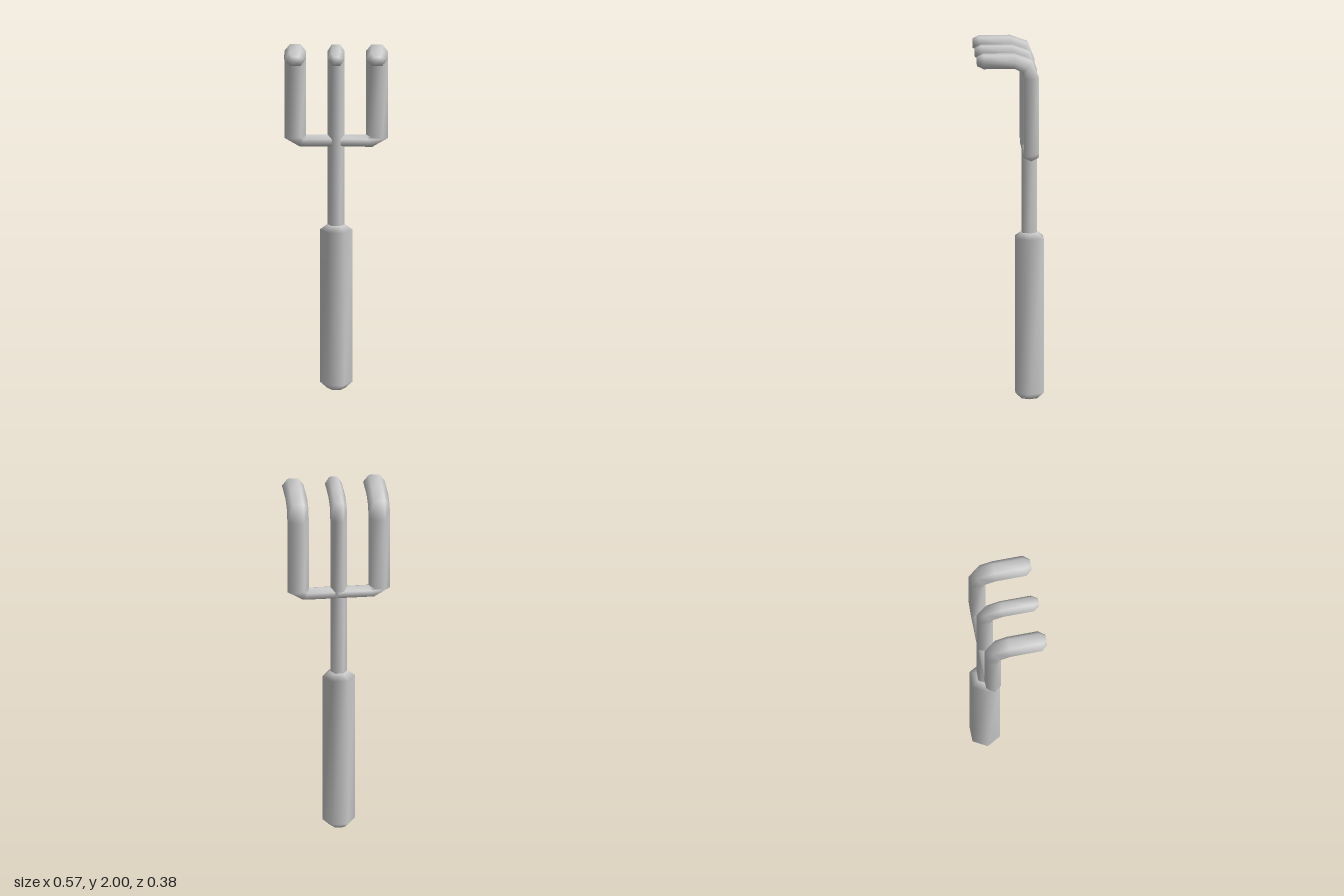
import * as THREE from 'three';

const SIDES = 6;
const AXIS_Z = -0.112; // depth of the handle and shaft axis
const V = (x, y, z) => new THREE.Vector3(x, y, z);

// A hexagonal section: centre c, corner direction u, and second axis v.
const ring = (c, u, v) => ({ c, u, v });
const flatRing = (y, r) => ring(V(0, y, AXIS_Z), V(r, 0, 0), V(0, 0, -r));

// Skin the sections into one smooth, capped solid.
function sweep(name, rings) {
  const pos = [], index = [];
  rings.forEach(({ c, u, v }) => {
    for (let k = 0; k < SIDES; k++) {
      const a = (k / SIDES) * Math.PI * 2;
      pos.push(...c.clone().addScaledVector(u, Math.cos(a)).addScaledVector(v, Math.sin(a)).toArray());
    }
  });
  const last = (rings.length - 1) * SIDES;
  const startCentre = rings.length * SIDES;
  pos.push(...rings[0].c.toArray(), ...rings[rings.length - 1].c.toArray());
  for (let k = 0; k < SIDES; k++) {
    const n = (k + 1) % SIDES;
    for (let i = 0; i < last; i += SIDES) {
      index.push(i + k, i + n, i + SIDES + n, i + k, i + SIDES + n, i + SIDES + k);
    }
    index.push(startCentre, n, k, startCentre + 1, last + k, last + n);
  }
  const geometry = new THREE.BufferGeometry();
  geometry.setAttribute('position', new THREE.Float32BufferAttribute(pos, 3));
  geometry.setIndex(index);
  geometry.computeVertexNormals();
  const mesh = new THREE.Mesh(geometry, new THREE.MeshStandardMaterial({ color: 0xcccccc }));
  mesh.name = name;
  return mesh;
}

// Bend at the top of a prong, then the forward run to its chamfered tip.
const hook = (x, r) => [
  ring(V(x, 1.867, AXIS_Z), V(r, 0, 0), V(0, 0, -0.047)),
  ring(V(x, 1.933, -0.088), V(r, 0, 0), V(0, 0.037, -0.031)),
  ring(V(x, 1.962, -0.018), V(r, 0, 0), V(0, 0.044, 0)),
  ring(V(x, 1.962, 0.155), V(r, 0, 0), V(0, 0.044, 0)),
  ring(V(x, 1.962, 0.19), V(r * 0.54, 0, 0), V(0, 0.027, 0)),
];

export function createModel() {
  const group = new THREE.Group();
  group.name = 'handCultivator';

  // Grip with chamfered ends
  group.add(sweep('handle', [
    flatRing(0, 0.05), flatRing(0.035, 0.09), flatRing(0.91, 0.09), flatRing(0.94, 0.05),
  ]));

  // Shaft running straight into the middle prong
  group.add(sweep('shaftAndMiddleProng', [flatRing(0.92, 0.047), ...hook(0, 0.047)]));

  // Crossbar turning up into the two outer prongs
  const half = [
    ring(V(0.184, 1.42, AXIS_Z), V(0.016, -0.035, 0), V(0, 0, -0.047)),
    ring(V(0.226, 1.445, AXIS_Z), V(0.06, -0.01, 0), V(0, 0, -0.047)),
    ...hook(0.226, 0.06),
  ];
  const flip = V(-1, 1, 1);
  const mirrored = half.map(({ c, u, v }) =>
    ring(c.clone().multiply(flip), u.clone().multiply(flip), v.clone().multiply(flip))).reverse();
  group.add(sweep('crossbarAndOuterProngs', [...mirrored, ...half]));

  return group;
}
